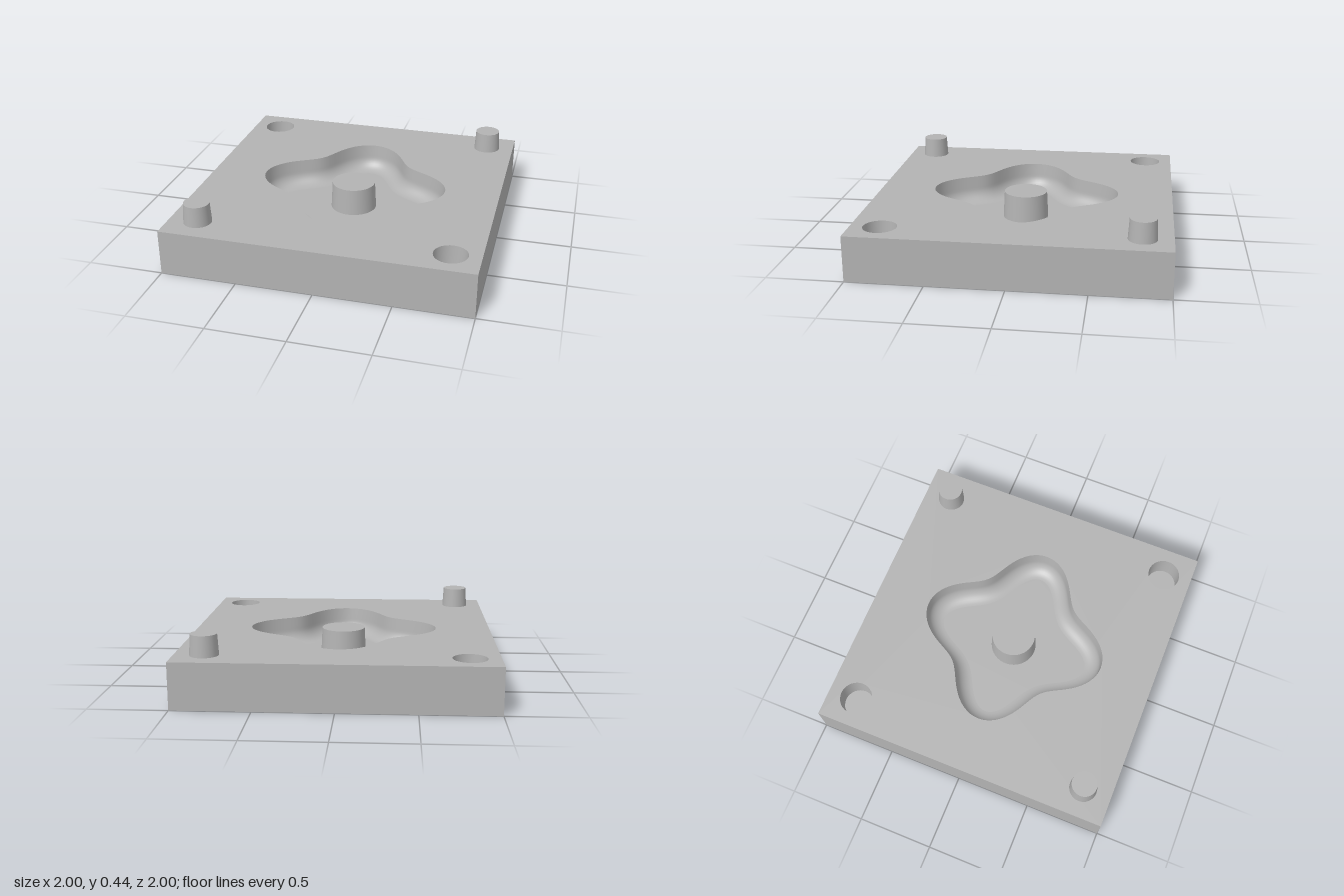
import * as THREE from 'three';

const TOP = 0.3, FLOOR = 0.12, PIN = 0.81;

// Four-lobed cavity outline, moved inwards along its normal by `inset`
function lobedRing(inset, n = 128) {
  return Array.from({ length: n }, (_, i) => {
    const a = (i / n) * Math.PI * 2;
    const r = 0.545 + 0.09 * Math.cos(4 * a), dr = -0.36 * Math.sin(4 * a);
    const tx = dr * Math.cos(a) - r * Math.sin(a);
    const tz = dr * Math.sin(a) + r * Math.cos(a);
    const l = Math.hypot(tx, tz);
    return new THREE.Vector2(r * Math.cos(a) - (inset * tz) / l, r * Math.sin(a) + (inset * tx) / l);
  });
}

function circleRing(cx, cz, r, n = 32) {
  return Array.from({ length: n }, (_, i) => {
    const a = (i / n) * Math.PI * 2;
    return new THREE.Vector2(cx + r * Math.cos(a), cz + r * Math.sin(a));
  });
}

// Inward-facing wall through rings given from top to bottom
function recessWall(rings, heights) {
  const n = rings[0].length, pos = [], idx = [];
  rings.forEach((ring, k) => ring.forEach(p => pos.push(p.x, heights[k], p.y)));
  for (let k = 0; k < rings.length - 1; k++) {
    for (let j = 0; j < n; j++) {
      const a = k * n + j, b = k * n + ((j + 1) % n);
      idx.push(a, a + n, b, b, a + n, b + n);
    }
  }
  const g = new THREE.BufferGeometry();
  g.setAttribute('position', new THREE.Float32BufferAttribute(pos, 3));
  g.setIndex(idx);
  g.computeVertexNormals();
  return g;
}

// Flat upward face at height y, bounded by a ring, with optional holes
function flatFace(ring, y, holes = []) {
  const flip = pts => pts.map(p => new THREE.Vector2(p.x, -p.y));
  const shape = new THREE.Shape(flip(ring));
  shape.holes = holes.map(h => new THREE.Path(flip(h)));
  return new THREE.ShapeGeometry(shape).rotateX(-Math.PI / 2).translate(0, y, 0);
}

export function createModel() {
  const model = new THREE.Group();
  model.name = 'mouldHalf';
  const grey = new THREE.MeshStandardMaterial({ color: 0xb3b3b3 });
  grey.name = 'grey';
  const add = (name, geometry, parent = model) => {
    const mesh = new THREE.Mesh(geometry, grey);
    mesh.name = name;
    parent.add(mesh);
    return mesh;
  };

  // Block sides and underside: a box without its top face
  const box = new THREE.BoxGeometry(2, TOP, 2).translate(0, TOP / 2, 0);
  const index = Array.from(box.index.array);
  index.splice(12, 6);
  box.setIndex(index);
  box.clearGroups();
  add('blockSides', box);

  // Top face, pierced by the cavity and the two sockets
  const sockets = [[-PIN, -PIN], [PIN, PIN]];
  const square = [[-1, -1], [1, -1], [1, 1], [-1, 1]].map(p => new THREE.Vector2(...p));
  add('blockTop', flatFace(square, TOP, [
    lobedRing(0), ...sockets.map(([x, z]) => circleRing(x, z, 0.108)),
  ]));

  // Cavity: steep drafted wall, then a rounded fillet into the floor
  const cavity = new THREE.Group();
  cavity.name = 'cavity';
  model.add(cavity);
  const R = 0.1, insets = [0], heights = [TOP];
  for (let i = 0; i <= 10; i++) {
    const a = (i / 10) * Math.PI / 2;
    insets.push(0.008 + R * (1 - Math.cos(a)));
    heights.push(FLOOR + R * (1 - Math.sin(a)));
  }
  add('cavityWall', recessWall(insets.map(d => lobedRing(d)), heights), cavity);
  add('cavityFloor', flatFace(lobedRing(insets[insets.length - 1]), FLOOR), cavity);

  // Central core post, level with the block top
  add('corePost', new THREE.CylinderGeometry(0.146, 0.155, TOP - FLOOR, 48))
    .position.y = (TOP + FLOOR) / 2;

  // Sockets on one diagonal
  for (const [x, z] of sockets) {
    const socket = new THREE.Group();
    socket.name = 'alignmentSocket';
    model.add(socket);
    const low = circleRing(x, z, 0.1);
    add('socketWall', recessWall([circleRing(x, z, 0.108), low], [TOP, 0.15]), socket);
    add('socketFloor', flatFace(low, 0.15), socket);
  }

  // Tapered pegs on the other diagonal
  for (const s of [-1, 1]) {
    add('alignmentPeg', new THREE.CylinderGeometry(0.083, 0.091, 0.135, 24))
      .position.set(s * PIN, TOP + 0.0675, -s * PIN);
  }
  return model;
}
